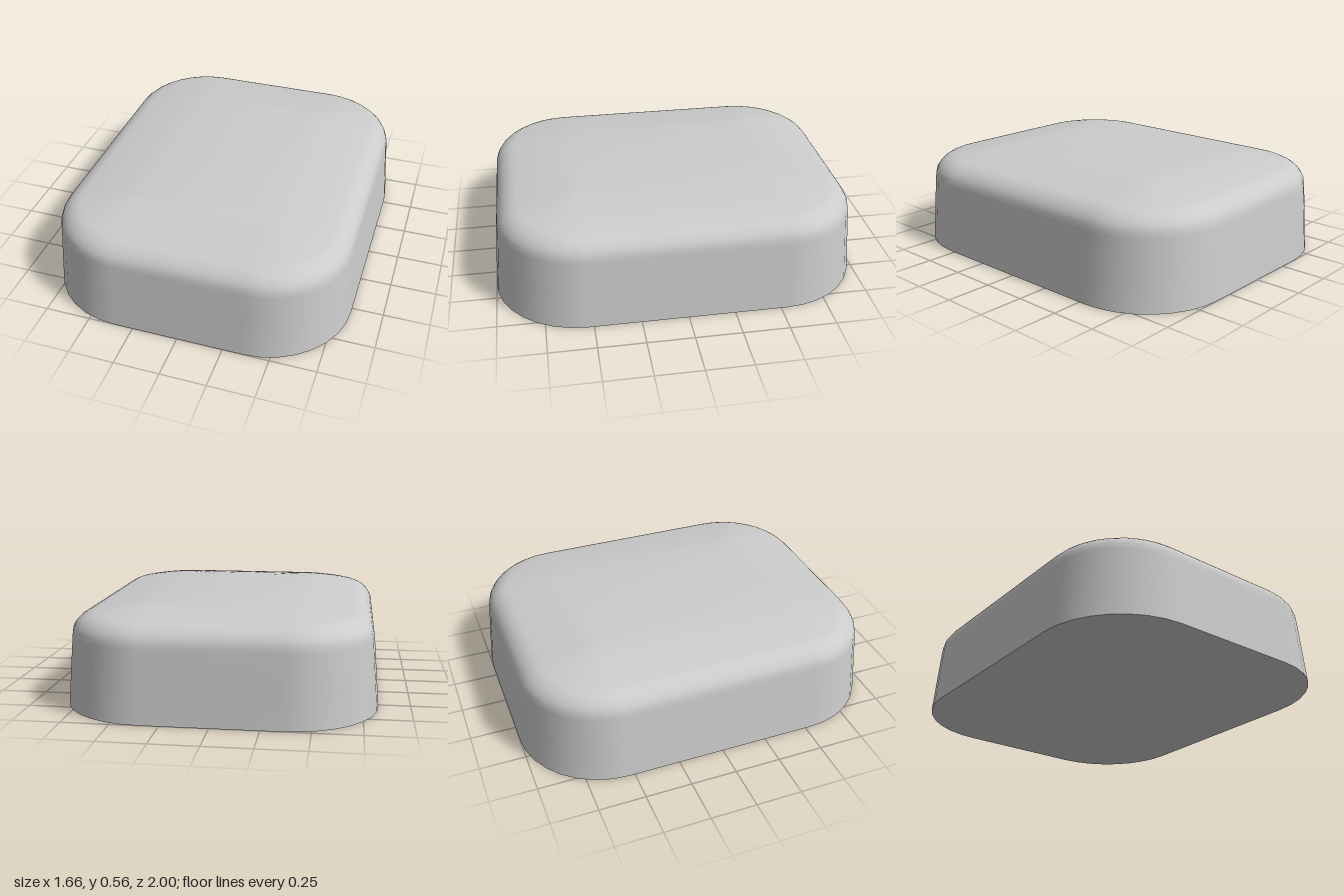
import * as THREE from 'three';
import { mergeVertices } from 'three/addons/utils/BufferGeometryUtils.js';

const HALF_X = 0.83, HALF_Z = 1, CORNER = 0.47, CORNER_STEPS = 8;

// Rounded-rectangle outline pulled in by a given inset, as [x, z] pairs
function outline(inset) {
  const r = Math.max(CORNER - inset, 0);
  const cx = HALF_X - inset - r, cz = HALF_Z - inset - r;
  const points = [];
  [[1, 1], [-1, 1], [-1, -1], [1, -1]].forEach(([sx, sz], quarter) => {
    for (let i = 0; i <= CORNER_STEPS; i++) {
      const a = (quarter + i / CORNER_STEPS) * Math.PI / 2;
      points.push([sx * cx + r * Math.cos(a), sz * cz + r * Math.sin(a)]);
    }
  });
  return points;
}

// Cross-section as [inset, height]: tapered wall, rounded shoulder, shallow dome
function profile() {
  const rows = [[0, 0], [0.015, 0.19], [0.03, 0.375]];
  for (let i = 1; i <= 7; i++) {
    const a = THREE.MathUtils.degToRad(5 + i * 75 / 7);
    rows.push([0.03 + 0.145 * (1 - Math.cos(a)), 0.375 + 0.124 * Math.sin(a)]);
  }
  const [edge, edgeY] = rows[rows.length - 1];
  const domeInsets = [0.22, 0.28, 0.34, 0.4, CORNER, 0.55, 0.64, 0.73, HALF_X];
  for (const inset of domeInsets) {
    const t = (HALF_X - inset) / (HALF_X - edge);
    rows.push([inset, 0.56 - (0.56 - edgeY) * t * t]);
  }
  return rows;
}

// Stitch the outlines into one smooth skin
function shellGeometry() {
  const positions = [], index = [];
  const rows = profile();
  for (const [inset, y] of rows) {
    for (const [x, z] of outline(inset)) positions.push(x, y, z);
  }
  const n = positions.length / 3 / rows.length;
  for (let j = 0; j < rows.length - 1; j++) {
    for (let i = 0; i < n; i++) {
      const a = j * n + i, b = j * n + (i + 1) % n;
      index.push(a, a + n, b, b, a + n, b + n);
    }
  }
  let geometry = new THREE.BufferGeometry();
  geometry.setAttribute('position', new THREE.Float32BufferAttribute(positions, 3));
  geometry.setIndex(index);
  geometry = mergeVertices(geometry, 1e-4);

  // Drop triangles that collapsed where the corners become sharp
  const merged = geometry.index.array, kept = [];
  for (let i = 0; i < merged.length; i += 3) {
    const [a, b, c] = [merged[i], merged[i + 1], merged[i + 2]];
    if (a !== b && b !== c && c !== a) kept.push(a, b, c);
  }
  geometry.setIndex(kept);
  geometry.computeVertexNormals();
  return geometry;
}

export function createModel() {
  const group = new THREE.Group();
  group.name = 'domedBlock';
  const material = new THREE.MeshStandardMaterial({ color: 0xcccccc });

  const shell = new THREE.Mesh(shellGeometry(), material);
  shell.name = 'shell';

  // Flat underside, facing down
  const shape = new THREE.Shape(outline(0).map(([x, z]) => new THREE.Vector2(x, z)));
  const base = new THREE.Mesh(new THREE.ShapeGeometry(shape).rotateX(Math.PI / 2), material);
  base.name = 'base';

  group.add(shell, base);
  return group;
}
